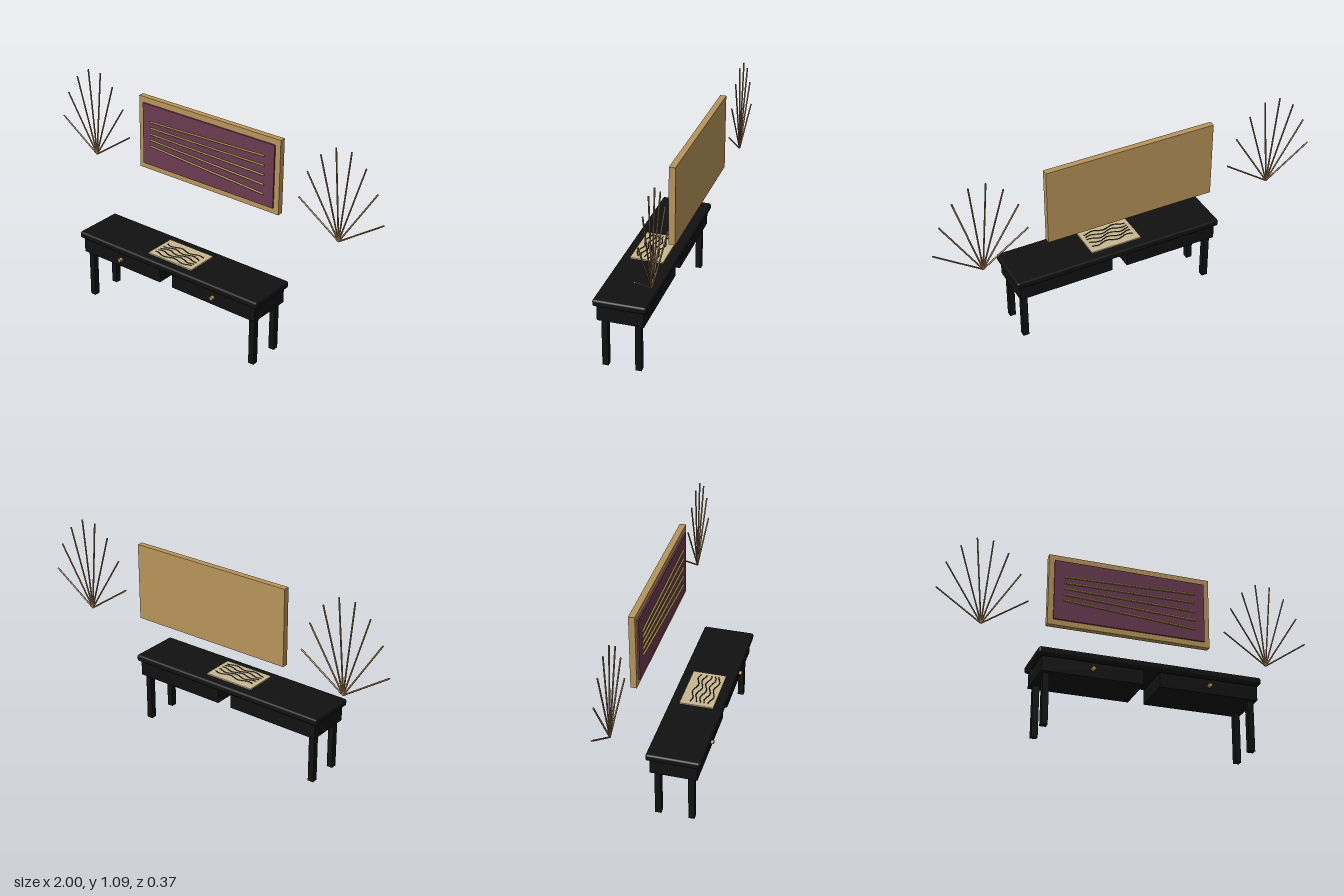
import * as THREE from 'three';
import { RoundedBoxGeometry } from 'three/addons/geometries/RoundedBoxGeometry.js';

const paint = (name, color) => {
  const m = new THREE.MeshStandardMaterial({ color });
  m.name = name;
  return m;
};

export function createModel() {
  const black = paint('black lacquer', 0x111111);
  const gold = paint('aged gold', 0xb8955a);
  const plum = paint('plum fabric', 0x6b3a50);
  const brass = paint('olive brass', 0xb09a45);
  const bronze = paint('bronze', 0x8f7048);
  const parchment = paint('parchment', 0xc8b88f);

  const model = new THREE.Group();
  model.name = 'consoleTableSet';

  const add = (parent, name, geometry, material, x, y, z) => {
    const mesh = new THREE.Mesh(geometry, material);
    mesh.name = name;
    mesh.position.set(x, y, z);
    parent.add(mesh);
    return mesh;
  };
  // Box given by its minimum and maximum corners
  const box = (parent, name, material, x0, x1, y0, y1, z0, z1) =>
    add(parent, name, new THREE.BoxGeometry(x1 - x0, y1 - y0, z1 - z0), material,
      (x0 + x1) / 2, (y0 + y1) / 2, (z0 + z1) / 2);
  // Round rod between two points
  const rod = (parent, name, material, a, b, radius) => {
    const dir = b.clone().sub(a);
    const mesh = add(parent, name, new THREE.CylinderGeometry(radius, radius, dir.length(), 8), material,
      (a.x + b.x) / 2, (a.y + b.y) / 2, (a.z + b.z) / 2);
    mesh.quaternion.setFromUnitVectors(new THREE.Vector3(0, 1, 0), dir.normalize());
    return mesh;
  };

  // Table: rounded top, drawers, knobs and four legs
  const table = new THREE.Group();
  table.name = 'table';
  model.add(table);
  add(table, 'tableTop', new RoundedBoxGeometry(1.124, 0.036, 0.268, 3, 0.011), black, 0, 0.356, 0.052);
  for (const s of [-1, 1]) {
    add(table, 'drawer', new THREE.BoxGeometry(0.505, 0.075, 0.234), black, s * 0.2925, 0.2945, 0.052);
    const knob = add(table, 'knob', new THREE.CylinderGeometry(0.01, 0.01, 0.018, 16), gold, s * 0.294, 0.298, 0.177);
    knob.rotation.x = Math.PI / 2;
    for (const z of [0.136, -0.031])
      add(table, 'leg', new THREE.BoxGeometry(0.031, 0.342, 0.031), black, s * 0.516, 0.171, z);
  }

  // Sheet on the table with five wavy lines
  const sheet = new THREE.Group();
  sheet.name = 'sheet';
  model.add(sheet);
  box(sheet, 'sheetBase', parchment, -0.137, 0.137, 0.373, 0.381, -0.031, 0.14);
  for (let row = 0; row < 5; row++) {
    const points = [];
    for (let i = 0; i <= 20; i++) {
      const t = i / 20;
      points.push(new THREE.Vector3(-0.115 + 0.23 * t, 0.3815,
        0.015 + row * 0.025 + 0.008 * Math.sin(t * Math.PI * 4 + row * 1.1)));
    }
    add(sheet, 'wavyLine', new THREE.TubeGeometry(new THREE.CatmullRomCurve3(points), 40, 0.0028, 6), black, 0, 0, 0);
  }

  // Wall panel with slanted strings
  const panel = new THREE.Group();
  panel.name = 'wallPanel';
  model.add(panel);
  box(panel, 'frame', gold, -0.436, 0.436, 0.66, 1.053, -0.183, -0.152);
  box(panel, 'fabric', plum, -0.407, 0.407, 0.69, 1.022, -0.153, -0.144);
  for (let i = 0; i < 5; i++)
    rod(panel, 'string', brass,
      new THREE.Vector3(-0.355, 0.93 - i * 0.033, -0.141),
      new THREE.Vector3(0.353, 0.953 - i * 0.0505, -0.141), 0.0048);

  // Fans of eight spokes on either side of the panel
  const tips = [[0.042, 0.471], [0.123, 0.413], [0.192, 0.306], [0.234, 0.161]];
  for (const side of [-1, 1]) {
    const fan = new THREE.Group();
    fan.name = side < 0 ? 'rightFan' : 'leftFan';
    fan.position.set(side * 0.765, 0.62, -0.178);
    model.add(fan);
    for (const s of [-1, 1])
      for (const [x, y] of tips)
        rod(fan, 'spoke', bronze, new THREE.Vector3(), new THREE.Vector3(s * x, y, 0), 0.004);
  }
  return model;
}
